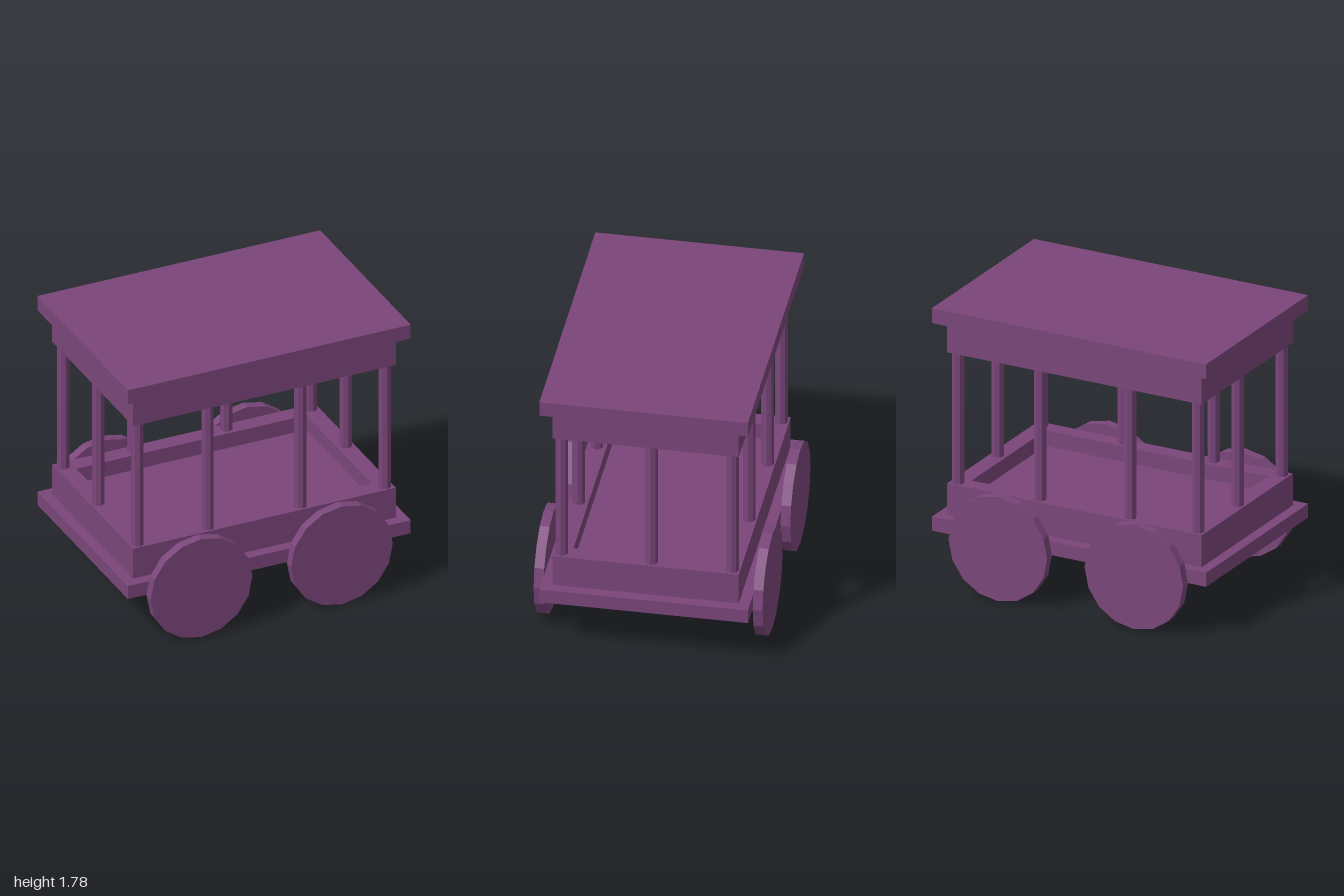
import * as THREE from 'three';

export function createModel() {
  const model = new THREE.Group();
  const cart = new THREE.Group();
  cart.name = 'cart';
  cart.rotation.y = 0.107; // the cart stands slightly turned
  model.add(cart);

  const paint = new THREE.MeshStandardMaterial({ color: 0x7a467a, flatShading: true });

  function add(name, geometry, x, y, z) {
    const mesh = new THREE.Mesh(geometry, paint);
    mesh.name = name;
    mesh.position.set(x, y, z);
    cart.add(mesh);
    return mesh;
  }

  // Half sizes: overhanging plates, box walls, and the opening inside the walls
  const plate = [0.937, 0.635], wall = [0.87, 0.567], inner = [0.762, 0.459];

  function rectangle(target, [a, b]) {
    target.moveTo(-a, -b);
    target.lineTo(a, -b);
    target.lineTo(a, b);
    target.lineTo(-a, b);
    target.closePath();
    return target;
  }

  // Rectangular ring lying flat between two heights
  function frame(name, outer, y0, y1) {
    const shape = rectangle(new THREE.Shape(), outer);
    shape.holes.push(rectangle(new THREE.Path(), inner));
    const geometry = new THREE.ExtrudeGeometry(shape, { depth: y1 - y0, bevelEnabled: false });
    geometry.rotateX(-Math.PI / 2);
    add(name, geometry, 0, y0, 0);
  }

  // Chassis, tray and roof
  frame('chassisFrame', plate, 0.34, 0.43);
  frame('trayWalls', wall, 0.43, 0.635);
  add('trayFloor', new THREE.BoxGeometry(inner[0] * 2, 0.01, inner[1] * 2), 0, 0.53, 0);
  frame('roofFrame', wall, 1.48, 1.68);
  add('roof', new THREE.BoxGeometry(plate[0] * 2, 0.096, plate[1] * 2), 0, 1.728, 0);

  // Pillars along both long sides and in the middle of each end
  const pillarGeometry = new THREE.CylinderGeometry(0.039, 0.039, 0.845, 8);
  const pillar = (x, z) => add('pillar', pillarGeometry, x, 1.0575, z);
  for (const side of [-1, 1]) {
    for (const x of [-0.82, -0.355, 0.26, 0.82]) pillar(x, side * 0.52);
    pillar(side * 0.82, -0.028);
  }

  // Wheels
  const wheelGeometry = new THREE.CylinderGeometry(0.337, 0.337, 0.06, 16);
  wheelGeometry.rotateX(Math.PI / 2);
  for (const z of [-0.667, 0.667]) {
    for (const x of [-0.478, 0.452]) add('wheel', wheelGeometry, x, 0.337, z);
  }

  return model;
}
